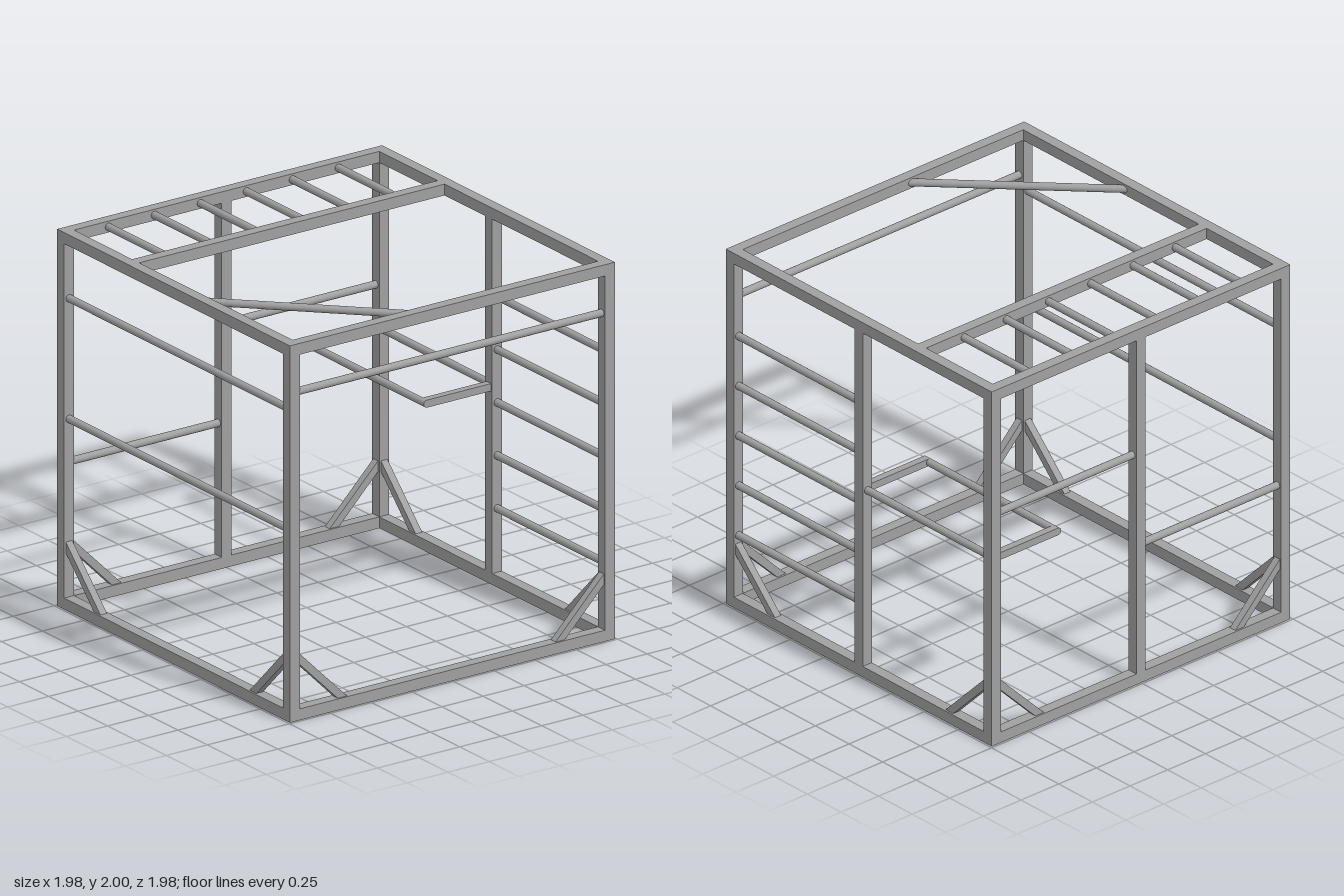
import * as THREE from 'three';

export function createModel() {
  const model = new THREE.Group();
  model.name = 'climbingFrame';
  const steel = new THREE.MeshStandardMaterial({ color: 0xa0a0a0 });
  steel.name = 'grey steel';

  const T = 0.06;   // square beam width
  const E = 0.96;   // beam centre line from the middle
  const LOW = 0.03, TOP = 1.97;
  const IN = E - T / 2;
  const R = 0.02;   // bar radius

  function add(name, geometry, parent = model) {
    const mesh = new THREE.Mesh(geometry, steel);
    mesh.name = name;
    parent.add(mesh);
    return mesh;
  }
  function box(name, w, h, d, x, y, z) {
    add(name, new THREE.BoxGeometry(w, h, d)).position.set(x, y, z);
  }
  // Round bar between two points
  function bar(name, a, b, open = true) {
    const p = new THREE.Vector3(...a), q = new THREE.Vector3(...b);
    const dir = q.clone().sub(p);
    const mesh = add(name, new THREE.CylinderGeometry(R, R, dir.length(), 16, 1, false));
    mesh.position.copy(p).add(q).multiplyScalar(0.5);
    mesh.quaternion.setFromUnitVectors(new THREE.Vector3(0, 1, 0), dir.normalize());
  }

  // Outer cube: corner posts, bottom and top rails
  for (const s of [-1, 1]) {
    for (const t of [-1, 1]) box('cornerPost', T, 2, T, s * E, 1, t * E);
    for (const y of [LOW, TOP]) {
      box('sideRail', T, T, 2 * IN, s * E, y, 0);
      box('crossRail', 2 * IN, T, T, 0, y, s * E);
    }
  }

  // Middle posts on the back and the ladder side, and the roof beam
  box('backMiddlePost', T, 2 - 2 * T, T, 0, 1, -E);
  box('sideMiddlePost', T, 2 - 2 * T, T, E, 1, 0);
  box('roofBeam', 2 * IN, T, T, 0, TOP, -0.405);

  // Monkey bars
  for (let i = 0; i < 6; i++) {
    const x = -0.72 + i * 0.28;
    bar('monkeyBar', [x, TOP, -IN], [x, TOP, -0.435]);
  }

  // Ladder rungs
  for (let i = 0; i < 5; i++) {
    const y = 0.4 + i * 0.281;
    bar('ladderRung', [E, y, 0.03], [E, y, IN]);
  }

  // Pull-up and rest bars on the faces
  bar('frontPullUpBar', [-IN, 1.735, E], [IN, 1.735, E]);
  bar('backHighBar', [0.03, 1.285, -E], [IN, 1.285, -E]);
  bar('backLowBar', [-IN, 0.765, -E], [-0.03, 0.765, -E]);
  for (const y of [1.645, 1.005]) bar('sideBar', [-E, y, -IN], [-E, y, IN]);

  // Corner pull-up bar across the roof
  bar('diagonalRoofBar', [-0.95, TOP, 0.165], [-0.175, TOP, 0.95]);

  // Dip station
  const dipY = 1.045, dipX = 0.54;
  bar('dipOuterBar', [E, dipY, -IN], [E, dipY, -0.03]);
  bar('dipInnerBar', [dipX, dipY, -E - R], [dipX, dipY, R]);
  for (const z of [-E, 0]) {
    box('dipArm', IN - dipX, 0.04, 0.04, (IN + dipX) / 2, dipY, z);
  }

  // Bottom corner braces: mitred strips between post and rail
  const shape = new THREE.Shape([
    new THREE.Vector2(IN, 0.355), new THREE.Vector2(0.635, T),
    new THREE.Vector2(0.692, T), new THREE.Vector2(IN, 0.298),
  ]);
  const brace = new THREE.ExtrudeGeometry(shape, { depth: 0.04, bevelEnabled: false });
  brace.translate(0, 0, E - 0.02);
  for (let i = 0; i < 4; i++) {
    const side = new THREE.Group();
    side.name = 'cornerBraces';
    side.rotation.y = i * Math.PI / 2;
    model.add(side);
    add('brace', brace, side);
    // Mirrored partner: half a turn about y, then moved back to this face
    const partner = add('brace', brace, side);
    partner.rotation.y = Math.PI;
    partner.position.z = 2 * E;
  }
  return model;
}
